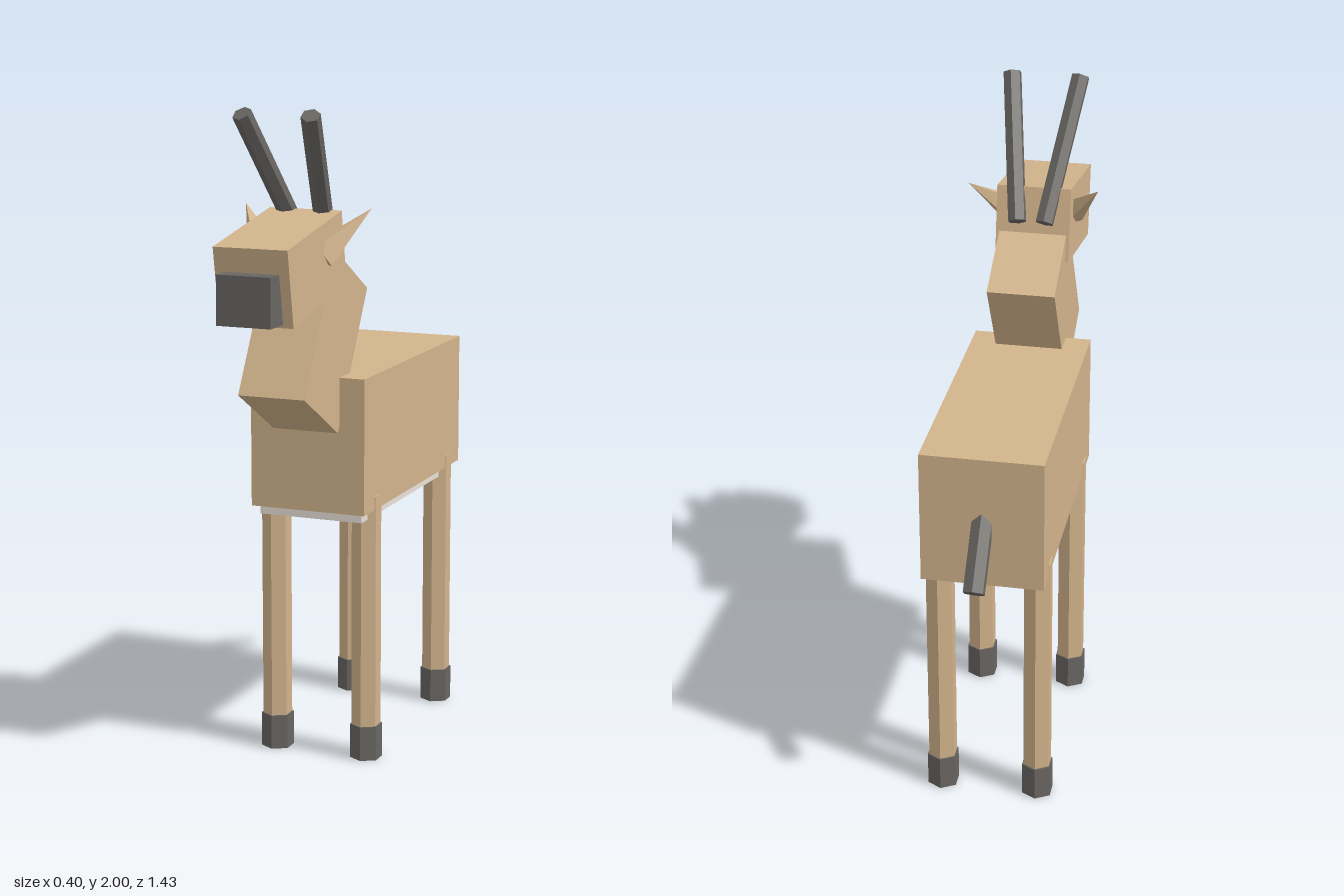
import * as THREE from 'three';

const mat = (color) => new THREE.MeshStandardMaterial({ color, flatShading: true });

export function createModel() {
  const model = new THREE.Group();
  const tan = mat(0xd2b48c), dark = mat(0x696662), pale = mat(0xeae2da);

  const add = (name, geometry, material, x, y, z, tilt = 0) => {
    const mesh = new THREE.Mesh(geometry, material);
    mesh.name = name;
    mesh.position.set(x, y, z);
    mesh.rotation.x = tilt;
    model.add(mesh);
    return mesh;
  };
  const box = (name, material, size, pos, tilt) =>
    add(name, new THREE.BoxGeometry(...size), material, ...pos, tilt);

  // Tapered prism running from one point to another
  const rod = (name, material, from, to, rFrom, rTo, sides = 6) => {
    const a = new THREE.Vector3(...from), b = new THREE.Vector3(...to);
    const dir = b.clone().sub(a);
    const mid = a.clone().add(b).multiplyScalar(0.5);
    const geometry = new THREE.CylinderGeometry(rTo, rFrom, dir.length(), sides);
    const mesh = add(name, geometry, material, mid.x, mid.y, mid.z);
    mesh.quaternion.setFromUnitVectors(new THREE.Vector3(0, 1, 0), dir.normalize());
    return mesh;
  };

  // Trunk, neck and head
  box('body', tan, [0.366, 0.413, 0.835], [0, 0.995, -0.15]);
  box('belly', pale, [0.33, 0.06, 0.674], [0, 0.79, -0.093]);
  box('neck', tan, [0.208, 0.465, 0.288], [0, 1.31, 0.289], -Math.PI / 6);
  box('head', tan, [0.228, 0.228, 0.4], [0, 1.55, 0.452], Math.PI / 18);
  box('muzzle', dark, [0.166, 0.144, 0.186], [0, 1.485, 0.623]);

  // Tail hanging back and down
  rod('tail', dark, [0, 1.053, -0.5], [0, 0.83, -0.687], 0.034, 0.034);

  for (const [side, s] of [['left', 1], ['right', -1]]) {
    // Horns and ears
    rod(side + 'Horn', dark, [s * 0.042, 1.605, 0.218], [s * 0.106, 1.985, 0.485], 0.029, 0.029);
    rod(side + 'Ear', tan, [s * 0.09, 1.577, 0.383], [s * 0.2, 1.705, 0.255], 0.05, 0, 4);

    // Legs with hooves
    for (const [end, z] of [['Front', 0.16], ['Back', -0.463]]) {
      const x = s * 0.148;
      rod(side + end + 'Leg', tan, [x, 0.05, z], [x, 0.83, z], 0.045, 0.045);
      rod(side + end + 'Hoof', dark, [x, 0, z], [x, 0.107, z], 0.05, 0.05);
    }
  }
  return model;
}
